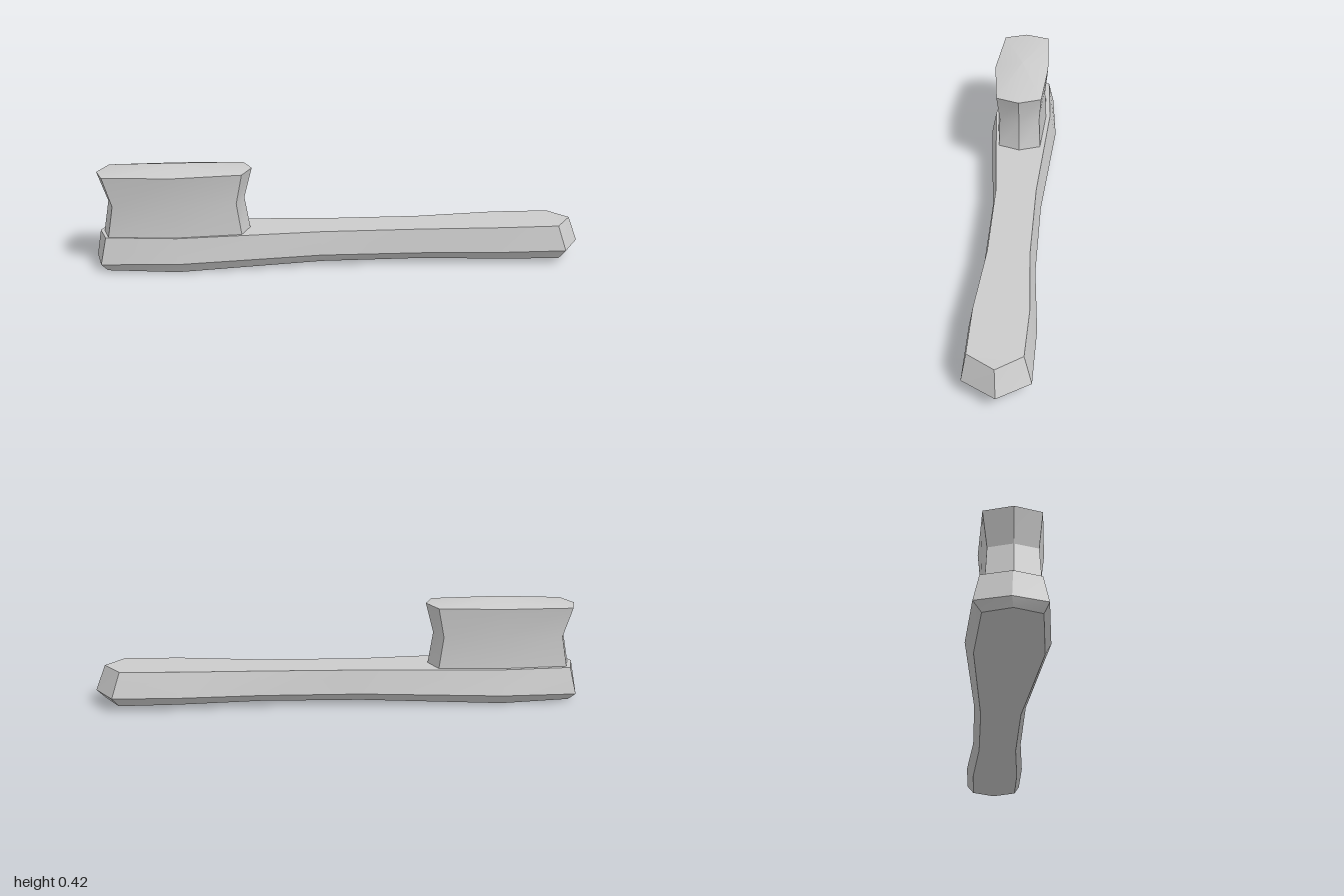
import * as THREE from 'three';
import { toCreasedNormals } from 'three/addons/utils/BufferGeometryUtils.js';

// Each level lists stations [x, y, zFront, zBack] from left tip to right tip;
// it becomes a closed ring, counter-clockwise seen from above.
function ringFrom(stations) {
  const last = stations.length - 1;
  const front = stations.map(([x, y, zf]) => [x, y, zf]);
  const back = stations.slice(1, last).reverse().map(([x, y, , zb]) => [x, y, zb]);
  return [...front, ...back];
}

// Walls between stacked rings, strip caps below and above; an apex turns the top into a low dome
function stackedRings(levels, apex) {
  const rings = levels.map(ringFrom);
  const n = rings[0].length;
  const half = n / 2;
  const out = [];
  const tri = (a, b, c) => out.push(...a, ...b, ...c);

  for (let k = 0; k < rings.length - 1; k++) {
    const lo = rings[k], hi = rings[k + 1];
    for (let i = 0; i < n; i++) {
      const j = (i + 1) % n;
      tri(lo[i], lo[j], hi[j]);
      tri(lo[i], hi[j], hi[i]);
    }
  }

  const cap = (r, up) => {
    const face = (a, b, c) => (up ? tri(a, b, c) : tri(a, c, b));
    for (let i = 0; i < half; i++) {
      if (i < half - 1) face(r[i], r[i + 1], r[n - i - 1]);
      if (i > 0) face(r[i], r[n - i - 1], r[n - i]);
    }
  };
  cap(rings[0], false);
  const top = rings[rings.length - 1];
  if (apex) top.forEach((p, i) => tri(p, top[(i + 1) % n], apex));
  else cap(top, true);

  const geometry = new THREE.BufferGeometry();
  geometry.setAttribute('position', new THREE.Float32BufferAttribute(out, 3));
  return toCreasedNormals(geometry, 0.4);
}

export function createModel() {
  const group = new THREE.Group();
  group.name = 'brush';
  const material = new THREE.MeshStandardMaterial({ color: 0xcccccc });
  const add = (name, geometry) => {
    const mesh = new THREE.Mesh(geometry, material);
    mesh.name = name;
    group.add(mesh);
  };

  // Long waisted handle with bevelled sides: underside, widest line, upper face
  add('handle', stackedRings([
    [
      [-0.98, 0.008, 0, 0], [-0.945, 0.007, 0.1, -0.1], [-0.66, 0.003, 0.128, -0.12],
      [-0.08, 0.02, 0.08, -0.08], [0.33, 0.025, 0.083, -0.076], [0.66, 0.024, 0.107, -0.095],
      [0.9, 0.022, 0.11, -0.09], [0.965, 0.028, 0.01, 0.01],
    ],
    [
      [-1, 0.04, -0.005, -0.005], [-0.967, 0.038, 0.118, -0.13], [-0.66, 0.044, 0.15, -0.151],
      [-0.08, 0.053, 0.1, -0.106], [0.33, 0.056, 0.105, -0.102], [0.66, 0.06, 0.131, -0.124],
      [0.922, 0.062, 0.133, -0.118], [1, 0.063, 0.005, 0.005],
    ],
    [
      [-0.98, 0.145, 0, 0], [-0.945, 0.146, 0.1, -0.108], [-0.66, 0.147, 0.13, -0.123],
      [-0.08, 0.149, 0.085, -0.085], [0.33, 0.153, 0.088, -0.08], [0.66, 0.161, 0.113, -0.096],
      [0.89, 0.164, 0.115, -0.088], [0.96, 0.166, 0.01, 0.01],
    ],
  ]));

  // Pinched bristle block with a shallow pointed crown
  add('bristles', stackedRings([
    [
      [-0.965, 0.14, 0.003, 0.003], [-0.935, 0.14, 0.097, -0.09], [-0.66, 0.14, 0.121, -0.105],
      [-0.4, 0.14, 0.097, -0.087], [-0.368, 0.14, 0.005, 0.005],
    ],
    [
      [-0.94, 0.272, 0.005, 0.005], [-0.912, 0.272, 0.092, -0.083], [-0.66, 0.274, 0.116, -0.097],
      [-0.42, 0.277, 0.094, -0.08], [-0.39, 0.278, 0.007, 0.007],
    ],
    [
      [-0.98, 0.394, 0.005, 0.005], [-0.945, 0.395, 0.104, -0.1], [-0.66, 0.397, 0.131, -0.109],
      [-0.395, 0.4, 0.106, -0.089], [-0.357, 0.402, 0.008, 0.008],
    ],
  ], [-0.66, 0.427, 0.008]));

  return group;
}
